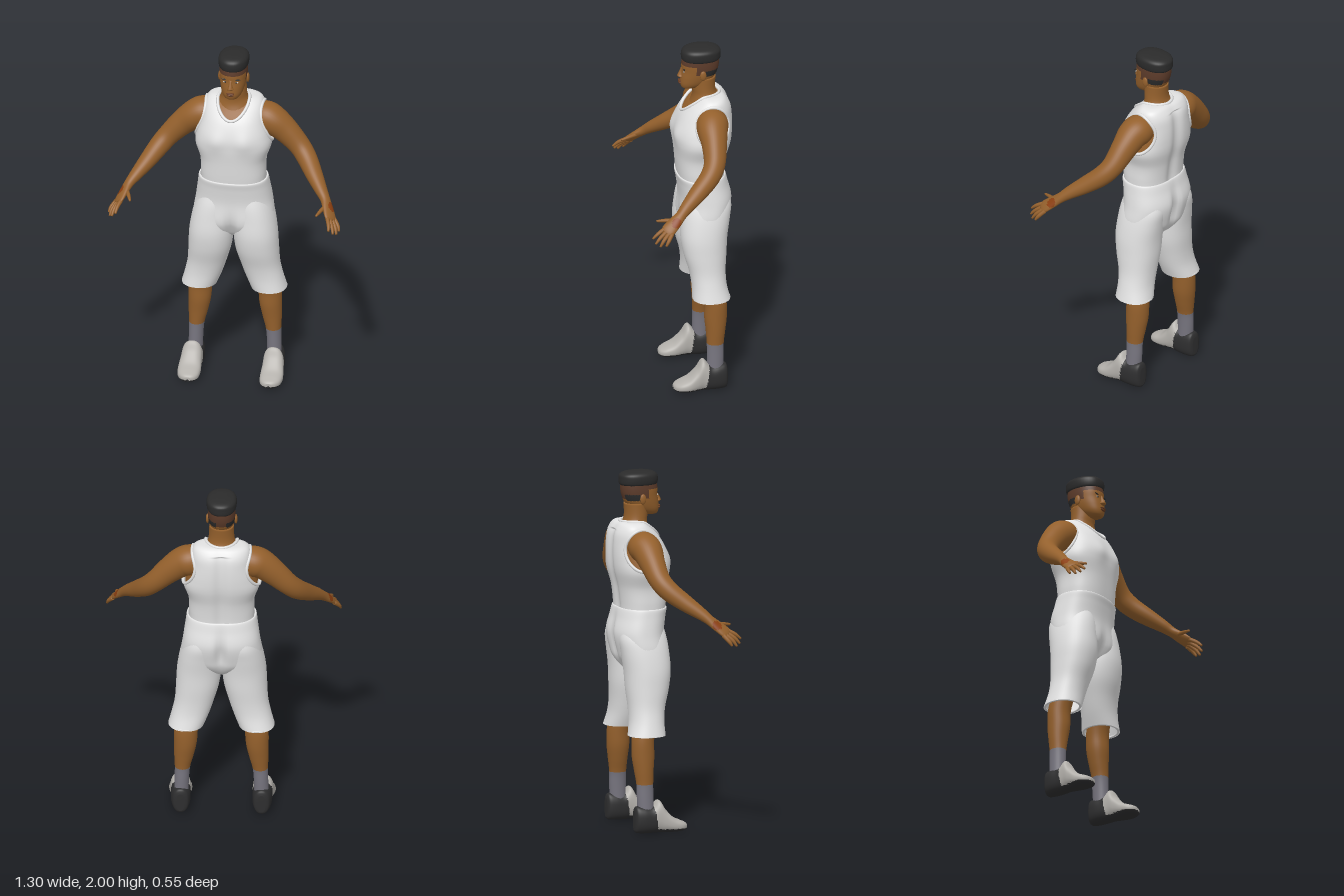
import * as THREE from 'three';

const V = (x, y, z) => new THREE.Vector3(x, y, z);
const mat = (name, color, side = THREE.FrontSide) => {
  const m = new THREE.MeshStandardMaterial({ color, side });
  m.name = name;
  return m;
};

// Smooth skin through elliptical rows [cx, cy, cz, radiusU, radiusV].
// pick(point) chooses a material index per face, or -1 to leave a hole.
function loft(name, rows, mats, o = {}) {
  const { axis, ref = V(0, 0, 1), n = 32, steps = 5, e = 1, cap = true, pick = () => 0, warp } = o;
  const rings = [];
  for (let i = 0; i < rows.length - 1; i++) {
    const [a, b, c, d] = [rows[Math.max(i - 1, 0)], rows[i], rows[i + 1], rows[Math.min(i + 2, rows.length - 1)]];
    for (let k = 0; k < steps + (i === rows.length - 2 ? 1 : 0); k++) {
      const t = k / steps;
      rings.push(b.map((q, m) => 0.5 * (2 * q + (c[m] - a[m]) * t + (2 * a[m] - 5 * q + 4 * c[m] - d[m]) * t * t
        + (3 * q - a[m] - 3 * c[m] + d[m]) * t * t * t)));
    }
  }
  const pts = [], pw = v => Math.sign(v) * Math.abs(v) ** e;
  const centre = r => V(r[0], r[1], r[2]);
  rings.forEach((r, i) => {
    const T = axis || centre(rings[Math.min(i + 1, rings.length - 1)]).sub(centre(rings[Math.max(i - 1, 0)])).normalize();
    const u = T.clone().cross(ref).normalize(), v = u.clone().cross(T);
    for (let j = 0; j < n; j++) {
      const a = j / n * Math.PI * 2;
      pts.push(centre(r).addScaledVector(u, Math.max(r[3], 0.001) * pw(Math.cos(a)))
        .addScaledVector(v, Math.max(r[4], 0.001) * pw(Math.sin(a))));
    }
  });
  const last = rings.length - 1;
  pts.push(centre(rings[0]), centre(rings[last]));
  if (warp) pts.forEach(warp);
  const faces = mats.map(() => []);
  const tri = (a, b, c) => {
    const k = pick(pts[a].clone().add(pts[b]).add(pts[c]).divideScalar(3));
    if (k >= 0) faces[k].push(a, b, c);
  };
  for (let j = 0; j < n; j++) {
    const q = (j + 1) % n;
    for (let i = 0; i < last; i++) {
      tri(i * n + j, i * n + n + j, i * n + q);
      tri(i * n + q, i * n + n + j, i * n + n + q);
    }
    if (cap) {
      tri(pts.length - 2, j, q);
      tri(pts.length - 1, last * n + q, last * n + j);
    }
  }
  const g = new THREE.BufferGeometry().setFromPoints(pts);
  g.setIndex(faces.flat());
  let start = 0;
  faces.forEach((f, i) => { g.addGroup(start, f.length, i); start += f.length; });
  g.computeVertexNormals();
  const mesh = new THREE.Mesh(g, mats.length > 1 ? mats : mats[0]);
  mesh.name = name;
  return mesh;
}

// Horizontal row from height, half width, front z and back z
const H = (y, rx, zf, zb, cx = 0) => [cx, y, (zf + zb) / 2, rx, (zf - zb) / 2];
const UP = V(0, 1, 0), FWD = V(0, 0, 1);

export function createModel() {
  const skin = mat('skin', 0x94602c), cloth = mat('white cloth', 0xe2e2e2, THREE.DoubleSide);
  const hair = mat('hair', 0x2b2b2b), fade = mat('shaved hair', 0x5c3b2a), red = mat('reddened skin', 0x8c4012);
  const sock = mat('sock', 0x77757f), upper = mat('shoe upper', 0xb4b1ac), sole = mat('shoe sole', 0x2e2e2f);
  const lip = mat('lips', 0x6c3f24), white = mat('eye white', 0xc9c0b8);
  const model = new THREE.Group();
  const add = m => (model.add(m), m);
  const ray = new THREE.Raycaster();
  const hit = (mesh, from, dir) => {
    ray.set(from, dir);
    const h = ray.intersectObject(mesh)[0];
    return h ? h.point : null;
  };

  // Torso under the vest, and the vest with neck and arm openings
  const torsoRows = [H(1.2, .178, .018, -.235), H(1.27, .181, .026, -.238), H(1.36, .184, .034, -.25),
    H(1.45, .212, .042, -.272), H(1.52, .203, .04, -.28), H(1.6, .181, .012, -.28), H(1.66, .169, -.03, -.272),
    H(1.7, .153, -.075, -.25), H(1.718, .12, -.1, -.228), H(1.722, .06, -.12, -.2)];
  const chest = p => {
    const side = Math.abs(p.x);
    if (p.z < -.15) p.z += .016 * Math.exp(-((p.x / .035) ** 2)) * (p.y < 1.68 ? 1 : 0.3);
    else p.z += .01 * Math.exp(-(((side - .08) / .05) ** 2) - ((p.y - 1.5) / .06) ** 2);
  };
  add(loft('torso', torsoRows.map(r => [r[0], r[1] - .006, r[2], r[3] - .013, r[4] - .012]), [skin],
    { axis: UP, n: 48, e: .8, warp: chest }));
  const inNeck = p => p.y > 1.55 && (p.x / .088) ** 2 + ((p.z + .108) / .108) ** 2 < 1;
  const inArm = p => Math.abs(p.x) > .1 && ((p.z + .15) / .092) ** 2 + ((p.y - 1.575) / .113) ** 2 < 1;
  const vestOpts = { axis: UP, n: 160, steps: 10, e: .8, cap: false, warp: chest };
  const whole = loft('whole vest', torsoRows, [cloth], vestOpts);
  add(loft('vest', torsoRows, [cloth], { ...vestOpts, pick: p => inNeck(p) || inArm(p) ? -1 : 0 }));
  const trim = (name, from, dir) => {
    const pts = [];
    for (let i = 0; i < 40; i++) {
      const a = i / 40 * Math.PI * 2, p = hit(whole, from(Math.cos(a), Math.sin(a)), dir);
      if (p) pts.push(p);
    }
    const m = add(new THREE.Mesh(new THREE.TubeGeometry(new THREE.CatmullRomCurve3(pts, true), 100, .009, 8, true), cloth));
    m.name = name;
  };
  trim('neckTrim', (c, s) => V(.088 * c, 3, -.108 + .108 * s), V(0, -1, 0));

  // Neck and head
  add(loft('neck', [H(1.64, .12, -.04, -.235), H(1.685, .1, -.06, -.225), H(1.72, .077, -.066, -.2),
    H(1.76, .07, -.062, -.192), H(1.82, .068, -.06, -.195)], [skin], { axis: UP }));
  const headPick = p => {
    const s = Math.abs(p.x);
    if (p.z < -.125 && s > .03 && p.y > 1.838 && p.y < 1.872) return 2;
    if (p.y > 1.902 || (p.z < -.1 && p.y > 1.845) || (s > .05 && p.z < -.075 && p.z > -.1 && p.y > 1.85)) return 1;
    return 0;
  };
  const head = add(loft('head', [H(1.752, .024, -.012, -.075), H(1.762, .042, -.002, -.1), H(1.785, .058, .004, -.145),
    H(1.82, .069, .002, -.187), H(1.86, .075, -.004, -.206), H(1.9, .077, -.004, -.214), H(1.95, .074, -.012, -.214)],
  [skin, fade, hair], { axis: UP, n: 72, steps: 8, e: .9, pick: headPick }));
  add(loft('hairTop', [H(1.922, .075, -.01, -.215), H(1.932, .081, -.004, -.222), H(1.955, .084, -.002, -.223),
    H(1.978, .081, -.008, -.22), H(1.993, .064, -.03, -.195), H(2, .03, -.07, -.15)], [hair],
  { axis: UP, n: 40, e: .9 }));
  add(loft('nose', [[0, 1.816, -.002, .012, .006], [0, 1.825, 0, .02, .019], [0, 1.835, 0, .014, .018],
    [0, 1.855, -.002, .009, .01], [0, 1.875, -.004, .008, .003]], [skin], { axis: UP, n: 16 }));
  const bead = (name, m, x, y, z, sx, sy, sz, tilt = 0) => {
    const b = add(new THREE.Mesh(new THREE.SphereGeometry(1, 16, 10), m));
    b.name = name;
    b.position.set(x, y, z);
    b.scale.set(sx, sy, sz);
    b.rotation.z = tilt;
  };
  const faceZ = (x, y) => hit(head, V(x, y, 1), V(0, 0, -1)).z;
  bead('upperLip', lip, 0, 1.797, faceZ(0, 1.797) + .002, .023, .006, .009);
  bead('lowerLip', lip, 0, 1.787, faceZ(0, 1.787) + .001, .02, .007, .009);

  for (const s of [1, -1]) {
    const side = s > 0 ? 'left' : 'right';
    const M = rows => rows.map(r => [r[0] * s, ...r.slice(1)]);

    // Face details
    bead(side + 'Eye', white, s * .031, 1.862, faceZ(.031, 1.862), .013, .005, .003);
    bead(side + 'Iris', hair, s * .031, 1.862, faceZ(.031, 1.862) + .002, .005, .005, .002);
    bead(side + 'Brow', hair, s * .034, 1.877, faceZ(.034, 1.877), .021, .004, .004, s * .1);
    bead(side + 'Ear', skin, s * .079, 1.848, -.112, .009, .029, .018);

    // Arm running into the palm, then fingers
    trim(side + 'ArmTrim', (c, t) => V(s, 1.575 + .113 * c, -.15 + .092 * t), V(-s, 0, 0));
    const ref = V(.68 * s, .72, .18).normalize();
    add(loft(side + 'Arm', M([[.1, 1.6, -.15, .07, .075], [.17, 1.598, -.145, .088, .086], [.22, 1.578, -.138, .085, .083],
      [.29, 1.522, -.135, .07, .072], [.365, 1.445, -.122, .06, .06], [.415, 1.388, -.085, .056, .056],
      [.47, 1.325, -.01, .049, .046], [.52, 1.272, .06, .037, .034], [.55, 1.238, .1, .03, .026],
      [.572, 1.205, .14, .037, .02], [.592, 1.172, .18, .04, .015], [.6, 1.16, .196, .03, .009]]), [skin, red],
    { ref, n: 36, steps: 6, pick: p => V(Math.abs(p.x), p.y, p.z).distanceTo(V(.598, 1.215, .135)) < .029 ? 1 : 0 }));
    const fingers = {
      Index: [[.579, 1.177, .2], [.593, 1.155, .24], [.598, 1.13, .27]],
      Middle: [[.59, 1.168, .187], [.611, 1.137, .23], [.62, 1.107, .257]],
      Ring: [[.601, 1.161, .175], [.626, 1.127, .212], [.636, 1.095, .234]],
      Little: [[.611, 1.156, .163], [.637, 1.125, .187], [.646, 1.1, .203]],
      Thumb: [[.558, 1.213, .135], [.537, 1.207, .19], [.522, 1.2, .235]],
    };
    for (const [k, [a, b, c]] of Object.entries(fingers)) {
      add(loft(side + k + 'Finger', M([[...a, .012, .012], [...b, .0105, .0105], [...c, .006, .006]]), [skin],
        { ref, n: 10, steps: 4 }));
    }

    // Shorts leg, open at the hem
    add(loft(side + 'ShortsLeg', M([H(.545, .099, -.03, -.24, .195), H(.62, .104, -.03, -.224, .17),
      H(.7, .109, -.018, -.222, .149), H(.8, .12, .01, -.23, .132), H(.9, .122, .024, -.237, .124),
      H(1, .112, .018, -.252, .118), H(1.08, .1, .008, -.262, .108), H(1.15, .075, -.01, -.245, .1)]), [cloth],
    { axis: UP, n: 40, e: .92, cap: false }));
    const hem = add(new THREE.Mesh(new THREE.TorusGeometry(1, .07, 8, 40), cloth));
    hem.name = side + 'ShortsHem';
    hem.position.set(s * .195, .549, -.135);
    hem.rotation.x = Math.PI / 2;
    hem.scale.set(.092, .099, .09);

    // Lower leg with sock
    add(loft(side + 'Leg', M([H(.1, .04, -.105, -.195, .222), H(.2, .04, -.106, -.2, .219), H(.275, .043, -.106, -.201, .215),
      H(.35, .054, -.102, -.211, .207), H(.43, .063, -.095, -.221, .199), H(.52, .066, -.095, -.22, .195),
      H(.62, .068, -.075, -.205, .183), H(.78, .08, -.03, -.2, .15)]), [skin, sock],
    { axis: UP, pick: p => p.y < .275 ? 1 : 0 }));

    // Shoe from heel to toe: light upper, dark heel and sole
    const S = (z, y0, y1, hw, cx) => [cx, (y0 + y1) / 2, z, hw, (y1 - y0) / 2];
    add(loft(side + 'Shoe', M([S(-.219, .02, .125, .022, .224), S(-.208, .006, .152, .042, .224), S(-.17, .002, .152, .053, .225),
      S(-.12, .002, .15, .055, .226), S(-.08, .003, .186, .056, .228), S(-.045, .003, .135, .06, .23),
      S(0, .002, .088, .064, .231), S(.045, .004, .066, .058, .23), S(.073, .01, .053, .04, .228),
      S(.085, .018, .042, .018, .227)]), [upper, sole],
    { axis: FWD, ref: V(0, -1, 0), n: 40, steps: 6, e: .82,
      pick: p => p.y < .024 || p.z < -.09 - .16 * p.y ? 1 : 0 }));
  }

  // Seat of the shorts with a rear crease
  add(loft('shortsSeat', [H(.87, .03, -.06, -.16), H(.9, .09, -.02, -.2), H(.95, .19, .01, -.238), H(1, .224, .019, -.256),
    H(1.1, .213, .012, -.276), H(1.19, .2, .022, -.256), H(1.238, .193, .031, -.244), H(1.243, .184, .02, -.235)], [cloth],
  { axis: UP, n: 80, steps: 6, e: .85, cap: false, warp: p => {
    const low = Math.exp(-(((p.y - 1.05) / .11) ** 2));
    if (p.z < -.12) p.z += .035 * low * Math.exp(-((p.x / .025) ** 2));
    else p.z -= .03 * Math.exp(-(((p.y - .93) / .09) ** 2) - (p.x / .03) ** 2);
  } }));
  return model;
}
